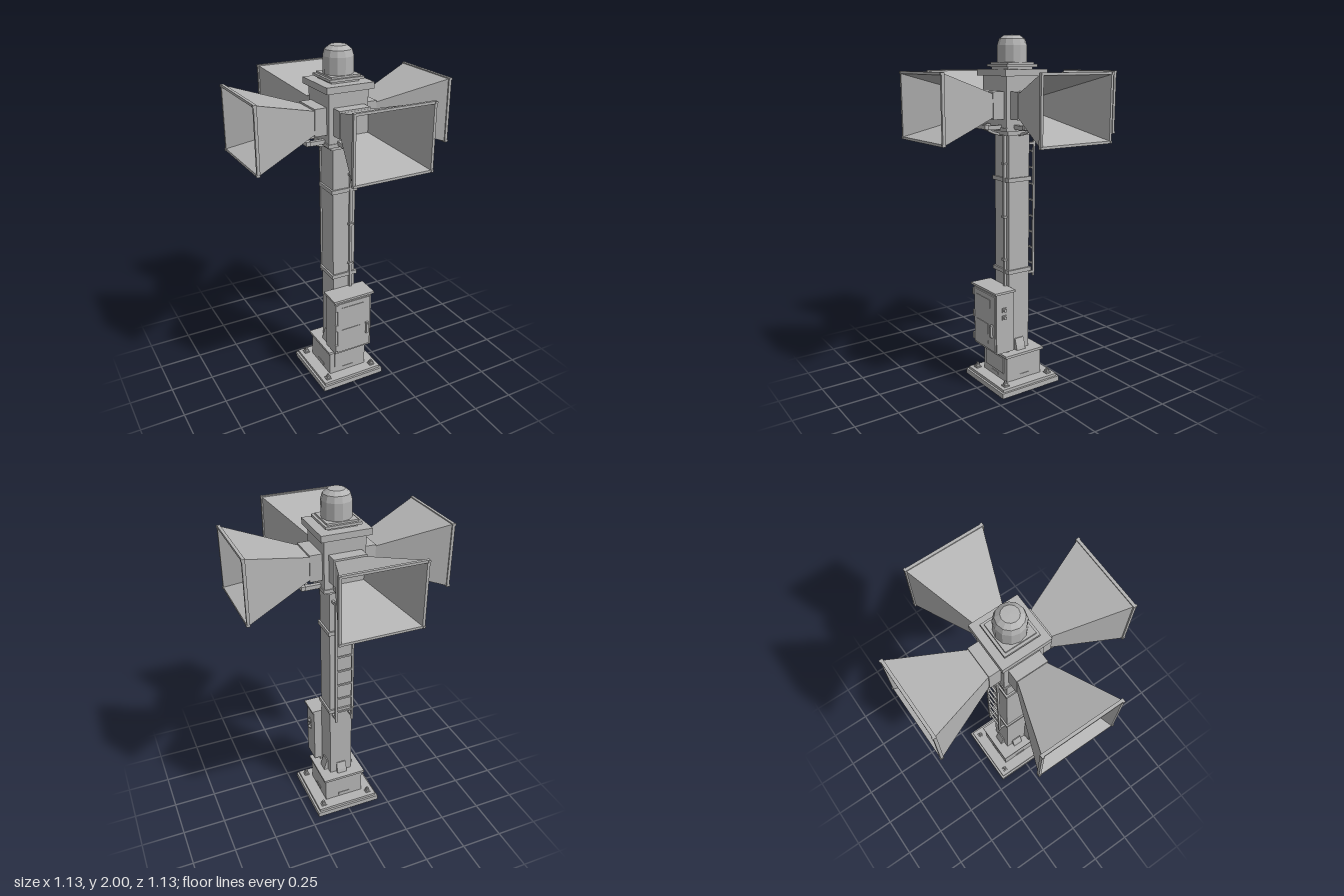
import * as THREE from 'three';

export function createModel() {
  const model = new THREE.Group();
  model.name = 'sirenTower';
  const grey = new THREE.MeshStandardMaterial({ color: 0xb4b4b4 });
  grey.name = 'grey metal';

  const add = (name, geo, parent = model) => {
    const mesh = new THREE.Mesh(geo, grey);
    mesh.name = name;
    parent.add(mesh);
    return mesh;
  };
  // Box given by its extents on each axis
  const box = (name, x0, x1, y0, y1, z0, z1, parent) => {
    const m = add(name, new THREE.BoxGeometry(x1 - x0, y1 - y0, z1 - z0), parent);
    m.position.set((x0 + x1) / 2, (y0 + y1) / 2, (z0 + z1) / 2);
    return m;
  };
  // Square slab centred on the post
  const slab = (name, h, y0, y1) => box(name, -h, h, y0, y1, -h, h);
  const flat = (geo) => {
    const g = geo.toNonIndexed();
    g.computeVertexNormals();
    return g;
  };
  // Four copies, one facing each side
  const fourSides = (name, build) => {
    for (let i = 0; i < 4; i++) {
      const side = new THREE.Group();
      side.name = name;
      side.rotation.y = (i * Math.PI) / 2;
      build(side, i);
      model.add(side);
    }
  };

  // Base and plinth
  slab('basePlate', 0.2, 0, 0.03);
  slab('baseStep', 0.188, 0.03, 0.046);
  slab('plinth', 0.12, 0.046, 0.197);
  slab('plinthCap', 0.132, 0.197, 0.212);
  fourSides('plinthTrim', (s) => {
    box('plinthSlot', -0.035, 0.035, 0.056, 0.075, 0.12, 0.123, s);
  });
  box('plinthPanel', -0.09, 0.09, 0.09, 0.185, 0.12, 0.125);
  for (const x of [-0.15, 0.15]) for (const z of [-0.15, 0.15]) {
    box('anchorWasher', x - 0.016, x + 0.016, 0.046, 0.053, z - 0.016, z + 0.016);
    box('anchorNut', x - 0.01, x + 0.01, 0.053, 0.066, z - 0.01, z + 0.01);
    box('anchorBolt', x - 0.005, x + 0.005, 0.066, 0.078, z - 0.005, z + 0.005);
  }

  // Post with collars and foot wedges
  slab('post', 0.069, 0.21, 1.5);
  slab('lowerCollar', 0.079, 0.68, 0.703);
  slab('upperCollar', 0.079, 1.21, 1.233);
  fourSides('footWedge', (s) => {
    const p = new THREE.Shape([[0.06, 0.21], [0.095, 0.21], [0.09, 0.235], [0.075, 0.28], [0.06, 0.28]]
      .map(([x, y]) => new THREE.Vector2(x, y)));
    const m = add('wedge', new THREE.ExtrudeGeometry(p, { depth: 0.06, bevelEnabled: false }), s);
    m.rotation.y = -Math.PI / 2;
    m.position.x = 0.03;
  });

  // Cable conduit on the front
  box('conduit', 0.03, 0.045, 0.6, 1.5, 0.069, 0.084);
  for (const y of [0.762, 1.012, 1.312])
    box('conduitClip', 0.023, 0.052, y - 0.006, y + 0.006, 0.069, 0.09);

  // Control cabinet
  box('cabinet', -0.118, 0.118, 0.235, 0.595, 0.069, 0.187);
  box('cabinetLid', -0.13, 0.13, 0.593, 0.606, 0.066, 0.2);
  box('cabinetDoor', -0.106, 0.108, 0.248, 0.578, 0.187, 0.194);
  box('upperDoorPanel', -0.08, 0.06, 0.5, 0.55, 0.194, 0.197);
  box('lowerDoorPanel', -0.08, 0.04, 0.28, 0.4, 0.194, 0.197);
  box('cabinetBracket', -0.08, 0.08, 0.212, 0.236, 0.069, 0.1);
  for (const y of [0.28, 0.42, 0.555])
    box('hinge', -0.12, -0.104, y - 0.02, y + 0.02, 0.18, 0.198);
  box('doorHandle', 0.077, 0.093, 0.345, 0.4, 0.2, 0.212);
  for (const y of [0.337, 0.4]) box('handleMount', 0.077, 0.093, y - 0.004, y + 0.008, 0.19, 0.208);
  for (const y of [0.45, 0.495]) {
    box('buttonPlate', 0.118, 0.123, y - 0.013, y + 0.013, 0.122, 0.15);
    const b = add('button', new THREE.CylinderGeometry(0.01, 0.01, 0.014, 8));
    b.rotation.z = Math.PI / 2;
    b.position.set(0.127, y, 0.136);
  }

  // Ladder on the back
  for (const x of [-0.05, 0.05]) {
    box('ladderRail', x - 0.006, x + 0.006, 0.637, 1.432, -0.12, -0.108);
    for (const y of [0.662, 1.415])
      box('ladderStandoff', x - 0.006, x + 0.006, y - 0.007, y + 0.007, -0.11, -0.066);
  }
  for (let i = 0; i < 8; i++) {
    const y = 0.71 + i * 0.094;
    box('ladderRung', -0.05, 0.05, y - 0.005, y + 0.005, -0.119, -0.109);
  }

  // Head that carries the horns
  slab('headBottomPlate', 0.12, 1.495, 1.515);
  slab('headUnderPlate', 0.09, 1.47, 1.495);
  slab('head', 0.115, 1.515, 1.79);
  slab('headCap', 0.138, 1.785, 1.82);

  // Hollow horn lofted through rectangular rings: half width, half height, distance
  const rings = [
    [0.084, 0.062, 0.178], [0.218, 0.172, 0.545], [0.225, 0.178, 0.545], [0.225, 0.178, 0.561],
    [0.211, 0.165, 0.561], [0.065, 0.053, 0.2], [0, 0, 0.2],
  ];
  const pos = [];
  const index = [];
  for (const [w, h, z] of rings) pos.push(-w, -h, z, w, -h, z, w, h, z, -w, h, z);
  for (let r = 0; r < rings.length - 1; r++)
    for (let i = 0; i < 4; i++) {
      const a = r * 4 + i, b = r * 4 + ((i + 1) % 4);
      index.push(a, b, b + 4, a, b + 4, a + 4);
    }
  const loft = new THREE.BufferGeometry();
  loft.setAttribute('position', new THREE.Float32BufferAttribute(pos, 3));
  loft.setIndex(index);
  const hornGeo = flat(loft);

  fourSides('hornAssembly', (s) => {
    add('horn', hornGeo, s).position.y = 1.633;
    box('throatFlange', -0.09, 0.09, 1.56, 1.706, 0.11, 0.182, s);
    for (const x of [-0.22, 0.22]) for (const y of [1.462, 1.804])
      box('rimBolt', x - 0.006, x + 0.006, y - 0.006, y + 0.006, 0.545, 0.565, s);
    // Support arms, cross bar and brace below the horn
    for (const x of [-0.055, 0.055])
      box('supportArm', x - 0.012, x + 0.012, 1.505, 1.528, 0.1, 0.215, s);
    box('supportBar', -0.075, 0.075, 1.51, 1.533, 0.2, 0.225, s);
    const curve = new THREE.QuadraticBezierCurve3(
      new THREE.Vector3(0, 1.47, 0.065), new THREE.Vector3(0, 1.475, 0.16), new THREE.Vector3(0, 1.55, 0.21));
    add('brace', new THREE.TubeGeometry(curve, 6, 0.008, 6), s);
  });

  // Beacon on top
  slab('beaconNeck', 0.08, 1.82, 1.832);
  slab('beaconFlange', 0.099, 1.832, 1.846);
  slab('beaconSeat', 0.085, 1.846, 1.856);
  const profile = [[0.081, 1.856], [0.081, 1.945], [0.071, 1.978], [0.045, 1.998], [0, 2]]
    .map(([x, y]) => new THREE.Vector2(x, y));
  add('beaconDome', flat(new THREE.LatheGeometry(profile, 12)));

  return model;
}
